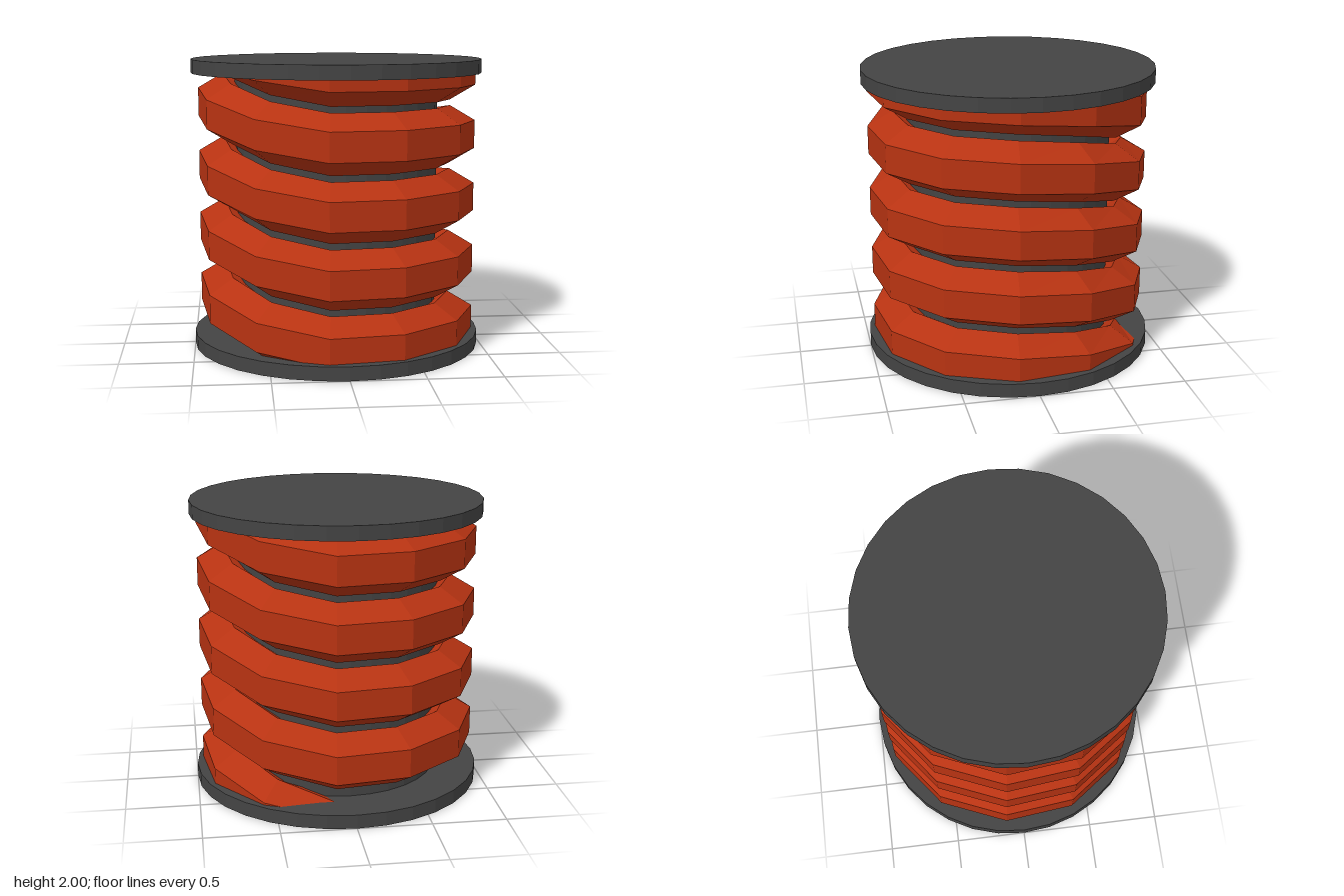
import * as THREE from 'three';

const darkGrey = new THREE.MeshStandardMaterial({ color: 0x444444, flatShading: true });
const rust = new THREE.MeshStandardMaterial({ color: 0xb83312, flatShading: true, side: THREE.DoubleSide });

// Hexagonal bar wound in a helix, descending from the top plate into the base plate
function coilGeometry() {
  const section = [[0.963, -0.0975], [0.963, 0.0975], [0.79, 0.2], [0.617, 0.0975], [0.617, -0.0975], [0.79, -0.2]];
  const halfTurnDrop = [0, 0, 0, 0.01, 0.06, 0.155]; // level at first, then sloping
  const first = -3, last = 54, sides = section.length;
  const positions = [], indices = [];
  for (let k = first; k <= last; k++) {
    const angle = THREE.MathUtils.degToRad(-7.5 + 30 * k);
    const half = Math.floor(k / 6);
    const centre = 1.9275 - 0.22 * half - halfTurnDrop[k - 6 * half];
    for (const [r, dy] of section) {
      // keep the ends buried inside the plates
      const ceiling = k === last ? 0.09 : 1.96;
      const y = THREE.MathUtils.clamp(centre + dy, 0.03, ceiling);
      positions.push(r * Math.sin(angle), y, r * Math.cos(angle));
    }
  }
  for (let k = 0; k < last - first; k++) {
    for (let i = 0; i < sides; i++) {
      const a = k * sides + i, b = k * sides + (i + 1) % sides;
      indices.push(a, a + sides, b + sides, a, b + sides, b);
    }
  }
  const indexed = new THREE.BufferGeometry();
  indexed.setAttribute('position', new THREE.Float32BufferAttribute(positions, 3));
  indexed.setIndex(indices);
  const geometry = indexed.toNonIndexed();
  geometry.computeVertexNormals();
  return geometry;
}

export function createModel() {
  const group = new THREE.Group();
  group.name = 'coiledDrum';

  function addDisc(name, radius, height, y) {
    const mesh = new THREE.Mesh(new THREE.CylinderGeometry(radius, radius, height, 32), darkGrey);
    mesh.name = name;
    mesh.position.y = y;
    group.add(mesh);
  }

  // End plates and inner core
  addDisc('basePlate', 1, 0.095, 0.0475);
  addDisc('topPlate', 1, 0.095, 1.9525);
  addDisc('core', 0.7, 1.86, 1);

  // Coil around the core
  const coil = new THREE.Mesh(coilGeometry(), rust);
  coil.name = 'coil';
  group.add(coil);

  return group;
}
